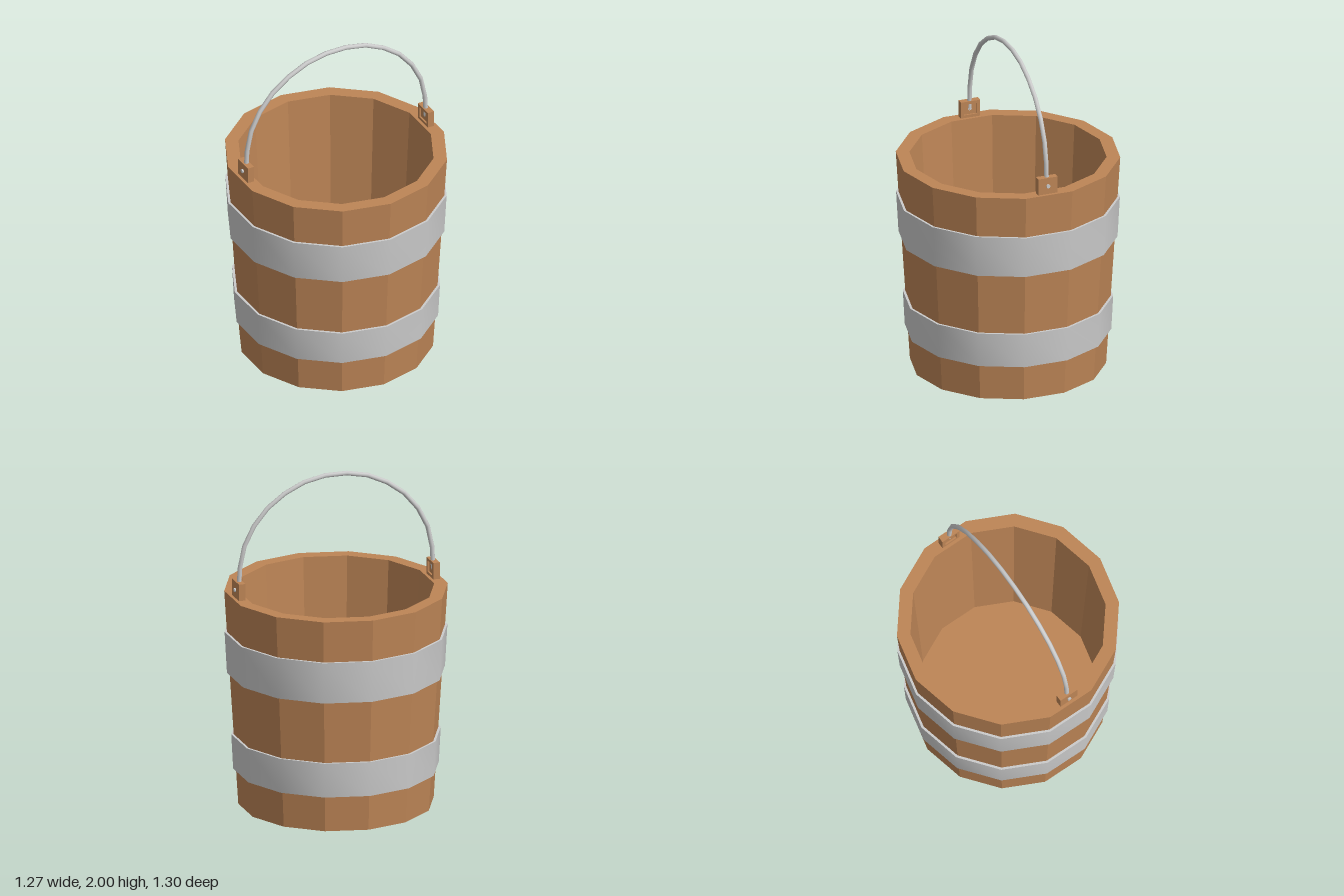
import * as THREE from 'three';
import { toCreasedNormals } from 'three/addons/utils/BufferGeometryUtils.js';

const SIDES = 14;

export function createModel() {
  const bucket = new THREE.Group();
  bucket.name = 'bucket';

  const wood = new THREE.MeshStandardMaterial({ color: 0xbd8556, flatShading: true });
  const metal = new THREE.MeshStandardMaterial({ color: 0xcccccc });

  const add = (name, geometry, material, parent = bucket) => {
    const mesh = new THREE.Mesh(geometry, material);
    mesh.name = name;
    parent.add(mesh);
    return mesh;
  };
  const lathe = (pairs) =>
    new THREE.LatheGeometry(pairs.map(([r, y]) => new THREE.Vector2(r, y)), SIDES);

  // Tapered wooden wall with a raised floor
  add('woodenTub', lathe([
    [0, 0.1], [0.505, 0.1], [0.5, 0], [0.568, 0],
    [0.65, 1.3], [0.571, 1.3], [0.512, 0.2], [0, 0.2],
  ]), wood);

  // Metal hoops following the taper of the wall
  const hoop = (name, y0, y1, r0, r1) => add(name, toCreasedNormals(lathe([
    [r0 - 0.03, y0], [r0, y0], [r1, y1], [r1 - 0.03, y1],
  ]), 0.7), metal);
  hoop('lowerHoop', 0.215, 0.425, 0.598, 0.609);
  hoop('upperHoop', 0.8, 1.05, 0.634, 0.648);

  // Lugs on the rim: a back plate, a raised frame on the inner face, and a pin
  const frame = new THREE.Shape();
  frame.moveTo(-0.06, -0.05).lineTo(0.06, -0.05).lineTo(0.06, 0.05).lineTo(-0.06, 0.05).closePath();
  const opening = new THREE.Path();
  opening.moveTo(-0.04, -0.033).lineTo(-0.04, 0.033).lineTo(0.04, 0.033).lineTo(0.04, -0.033).closePath();
  frame.holes.push(opening);

  for (const [side, turn, x] of [['left', 0, 0.595], ['right', Math.PI, -0.595]]) {
    const lug = new THREE.Group();
    lug.name = side + 'Lug';
    lug.position.set(x, 1.35, 0);
    lug.rotation.y = turn;
    bucket.add(lug);

    add('lugPlate', new THREE.BoxGeometry(0.03, 0.1, 0.12).translate(0.005, 0, 0), wood, lug);
    const rim = new THREE.ExtrudeGeometry(frame, { depth: 0.01, bevelEnabled: false });
    rim.rotateY(-Math.PI / 2).translate(-0.01, 0, 0);
    add('lugFrame', rim, wood, lug);

    const pin = new THREE.CylinderGeometry(0.012, 0.012, 0.04, 8);
    pin.rotateZ(Math.PI / 2).translate(0.01, 0, 0);
    add('lugPin', pin, metal, lug);
  }

  // Arched bail handle, mirrored from one half
  const half = [
    [0.595, 1.35], [0.593, 1.42], [0.573, 1.57], [0.518, 1.7],
    [0.428, 1.817], [0.32, 1.9], [0.2, 1.958], [0.07, 1.986],
  ];
  const arch = [
    ...half.map(([x, y]) => new THREE.Vector3(-x, y, 0)),
    ...half.slice().reverse().map(([x, y]) => new THREE.Vector3(x, y, 0)),
  ];
  add('handle', new THREE.TubeGeometry(new THREE.CatmullRomCurve3(arch), 15, 0.014, 8), metal);

  return bucket;
}
